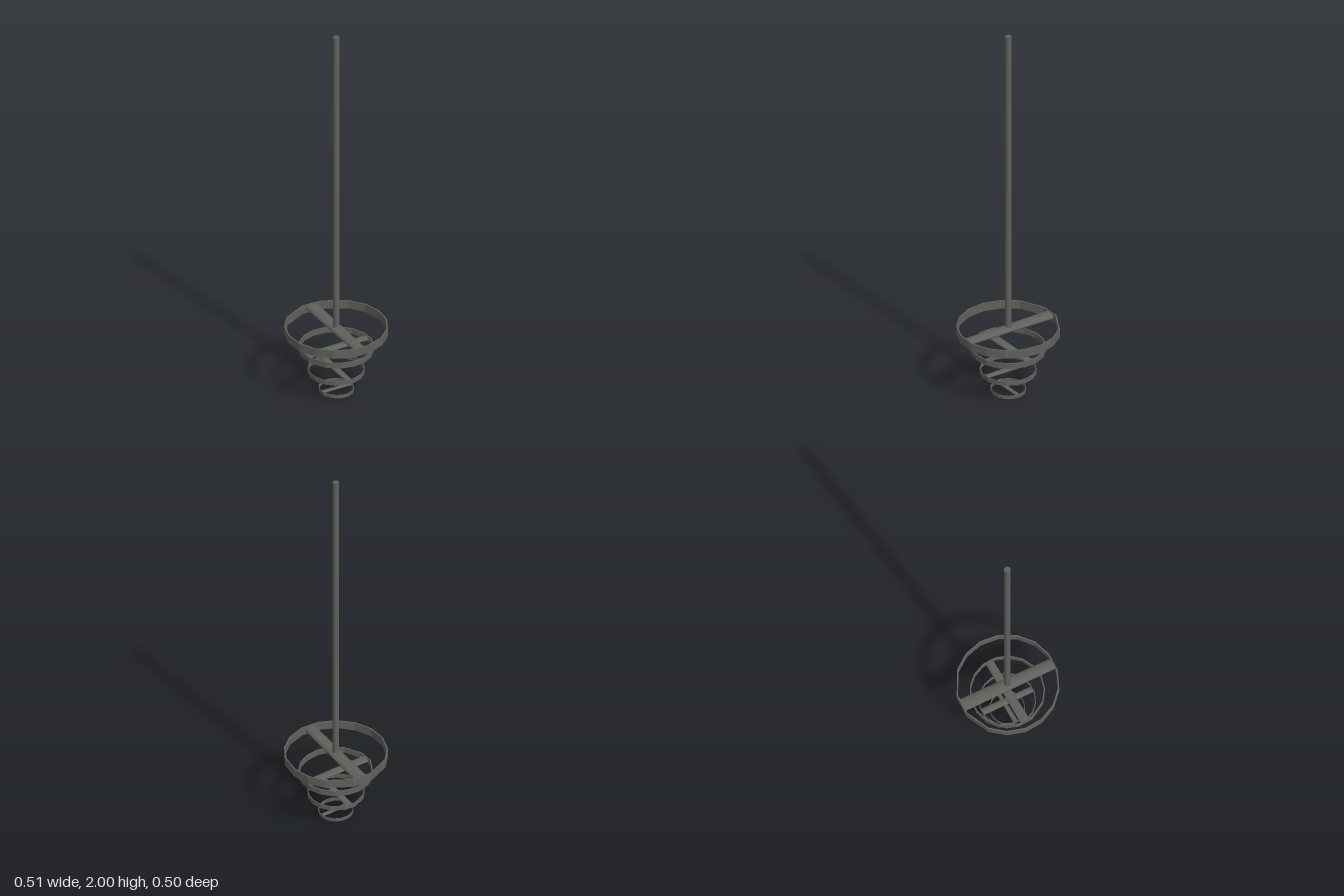
import * as THREE from 'three';

const metal = new THREE.MeshStandardMaterial({ color: 0x60605c });
metal.name = 'dark grey metal';

// Corner angles (degrees) of half a hoop; the other half is mirrored
const HALF = [10.6, 31.8, 52.9, 74.1, 95.3, 116.5, 137.6, 168.2];

function hoopPoints(radius) {
  const angles = [...HALF, ...HALF.map(a => 360 - a).reverse()];
  return angles.map(a => {
    const t = THREE.MathUtils.degToRad(a);
    return new THREE.Vector2(Math.sin(t) * radius, -Math.cos(t) * radius);
  });
}

// Faceted band standing upright, centred on its own height
function hoop(radius, height, wall) {
  const shape = new THREE.Shape(hoopPoints(radius));
  shape.holes.push(new THREE.Path(hoopPoints(radius - wall).reverse()));
  const geo = new THREE.ExtrudeGeometry(shape, { depth: height, bevelEnabled: false });
  geo.translate(0, 0, -height / 2).rotateX(-Math.PI / 2);
  return geo;
}

// Flattened, slightly tapered bar spanning the hoop along z
function crossbar(length, backWidth, frontWidth, height) {
  const geo = new THREE.CylinderGeometry(frontWidth / 2, backWidth / 2, length, 20);
  geo.rotateX(Math.PI / 2);
  geo.scale(1, height / backWidth, 1);
  return geo;
}

function addMesh(parent, name, geo) {
  const mesh = new THREE.Mesh(geo, metal);
  mesh.name = name;
  parent.add(mesh);
  return mesh;
}

export function createModel() {
  const model = new THREE.Group();
  model.name = 'tieredHoopPole';

  // Long pole rising from the top crossbar
  const pole = addMesh(model, 'pole', new THREE.CylinderGeometry(0.016, 0.016, 1.65, 24));
  pole.position.y = 1.175;

  // Four shrinking tiers, each turned a quarter from the one above
  const tiers = [
    { y: 0.347, r: 0.257, h: 0.044, wall: 0.007, back: 0.069, front: 0.059, turn: 0, tilt: 0 },
    { y: 0.243, r: 0.186, h: 0.03, wall: 0.006, back: 0.051, front: 0.042, turn: 93.5, tilt: -0.012 },
    { y: 0.118, r: 0.141, h: 0.024, wall: 0.004, back: 0.037, front: 0.032, turn: 0, tilt: 0 },
    { y: 0.012, r: 0.088, h: 0.018, wall: 0.003, back: 0.024, front: 0.021, turn: 93.5, tilt: -0.03 },
  ];
  tiers.forEach((t, i) => {
    const tier = new THREE.Group();
    tier.name = `tier${i + 1}`;
    addMesh(tier, 'hoop', hoop(t.r, t.h, t.wall));
    const bar = addMesh(tier, 'crossbar',
      crossbar(2 * (t.r - t.wall), t.back, t.front, t.h * 0.75));
    bar.position.y = t.h * 0.08;
    tier.position.y = t.y;
    tier.rotation.set(0, THREE.MathUtils.degToRad(t.turn), t.tilt, 'ZYX');
    model.add(tier);
  });

  return model;
}
